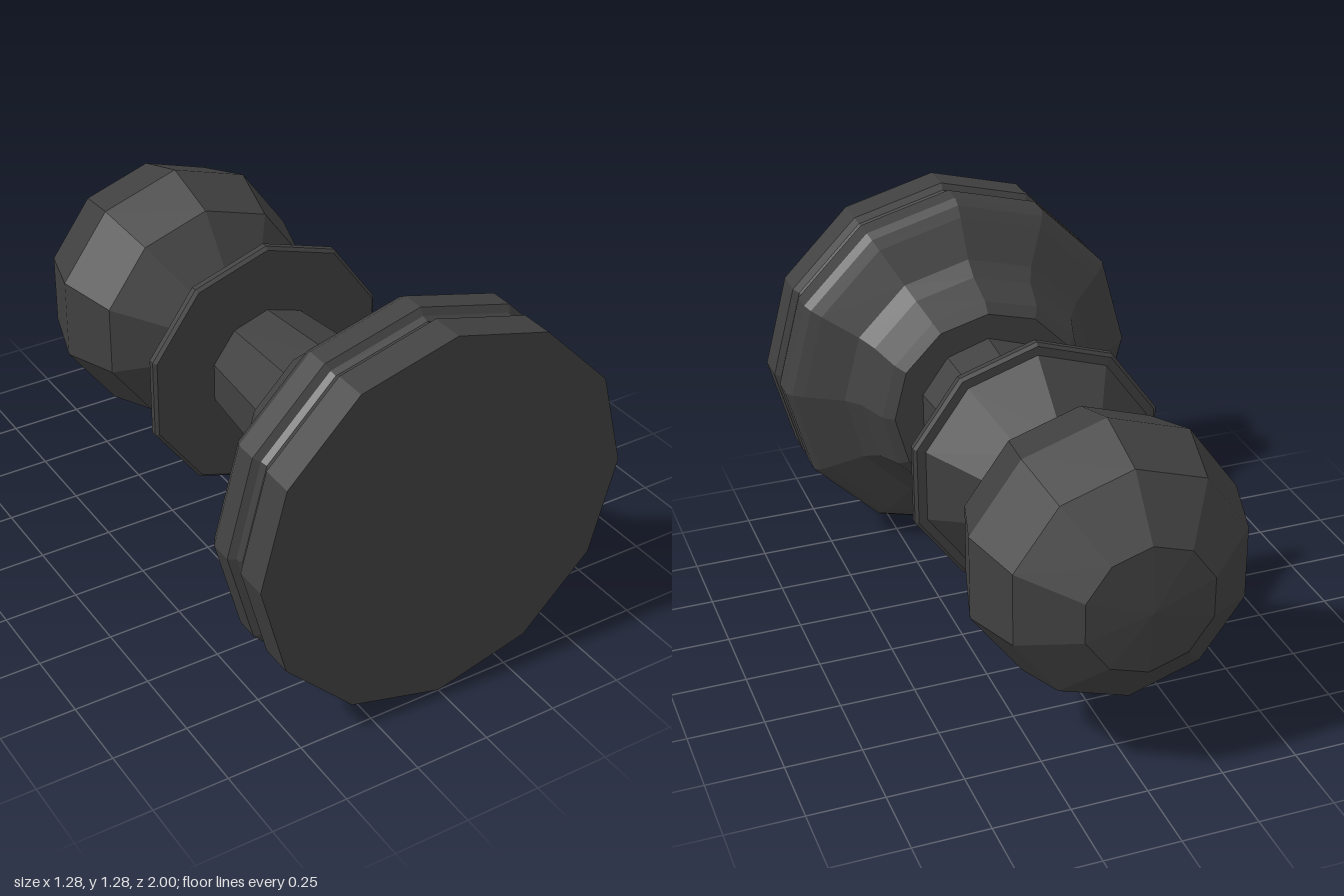
import * as THREE from 'three';

const AXIS_HEIGHT = 0.64;
const material = new THREE.MeshStandardMaterial({ color: 0x404040, flatShading: true });

// Faceted turned part lying along z; profile is [radius, z] from the foot (+z) to the head (-z)
function turned(name, sides, profile) {
  const points = profile.map(([r, z]) => new THREE.Vector2(r, -z));
  const geometry = new THREE.LatheGeometry(points, sides);
  geometry.rotateX(-Math.PI / 2);
  const mesh = new THREE.Mesh(geometry, material);
  mesh.name = name;
  mesh.position.y = AXIS_HEIGHT;
  return mesh;
}

export function createModel() {
  const pawn = new THREE.Group();
  pawn.name = 'pawn';

  // Foot with a narrow groove around its rim
  pawn.add(turned('foot', 12, [
    [0, 1], [0.638, 1], [0.638, 0.89], [0.617, 0.875], [0.608, 0.85], [0.617, 0.83],
    [0.638, 0.815], [0.638, 0.74], [0.62, 0.71], [0.585, 0.685], [0, 0.685],
  ]));

  // Flared shoulder rising from the foot
  pawn.add(turned('shoulder', 12, [
    [0.585, 0.685], [0.46, 0.61], [0.415, 0.555], [0.375, 0.44], [0.34, 0.41], [0, 0.41],
  ]));

  // Tapered neck
  pawn.add(turned('neck', 10, [[0.25, 0.41], [0.212, -0.02]]));

  // Collar: thin flange with a cone up to the head
  pawn.add(turned('collar', 10, [
    [0, -0.02], [0.43, -0.02], [0.441, -0.03], [0.441, -0.05], [0.43, -0.06],
    [0.4, -0.062], [0.212, -0.28],
  ]));

  // Ball head
  pawn.add(turned('head', 10, [
    [0.212, -0.28], [0.393, -0.42], [0.456, -0.63], [0.393, -0.84], [0.215, -0.98], [0, -1],
  ]));

  return pawn;
}
